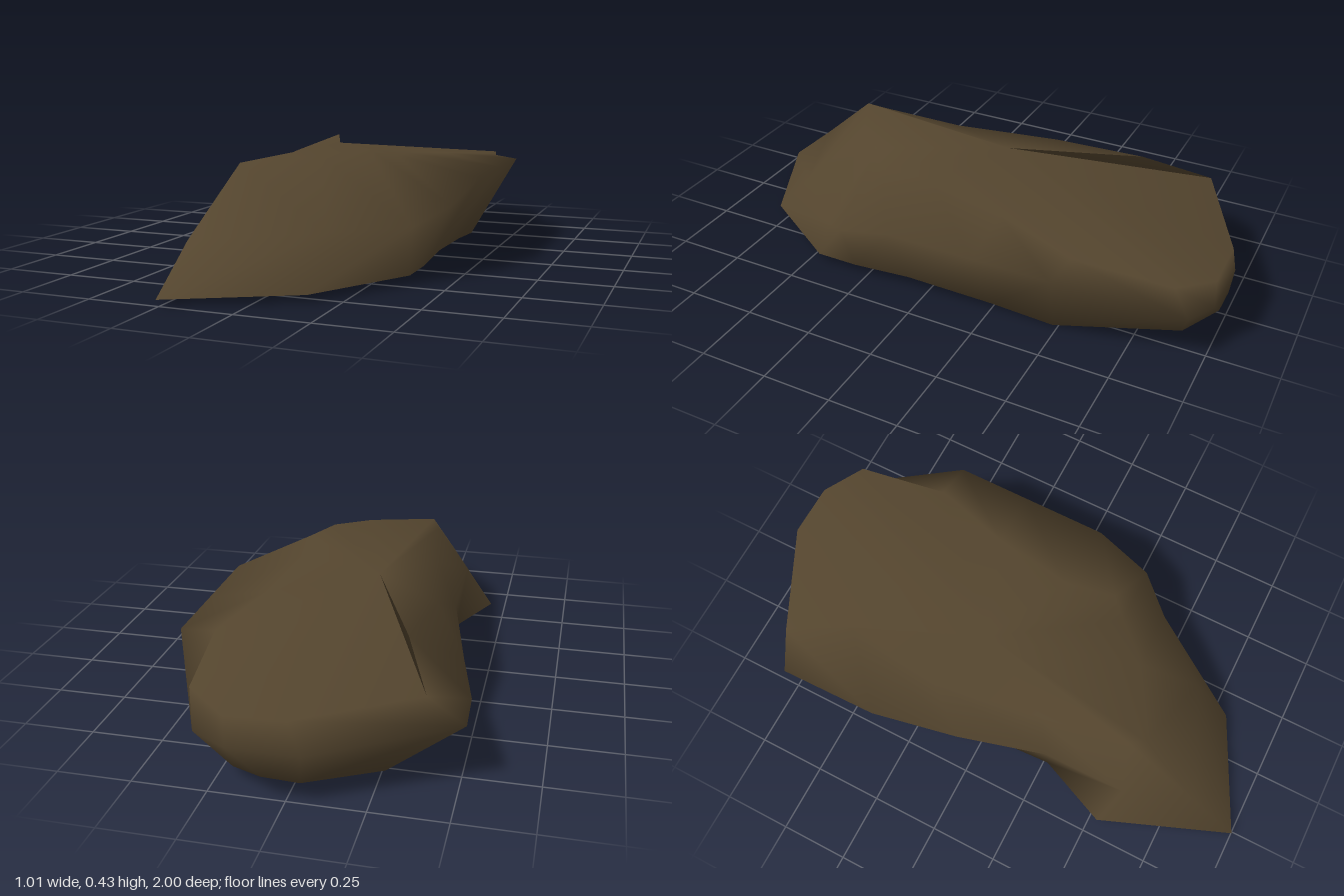
import * as THREE from 'three';

// Columns around the rock, counter-clockwise from the front tip:
// foot, flank and shoulder points, each as x, y, z.
const columns = [
  [-0.26, 0.02, 1.0, -0.25, 0.17, 0.82, -0.19, 0.39, 0.57],
  [0.15, 0.025, 0.8, 0.15, 0.19, 0.65, 0.05, 0.41, 0.44],
  [0.37, 0.03, 0.46, 0.36, 0.18, 0.41, 0.17, 0.425, 0.31],
  [0.37, 0.03, 0.3, 0.46, 0.24, 0.29, 0.25, 0.397, 0.24],
  [0.36, 0.04, 0.08, 0.5, 0.31, 0.07, 0.22, 0.385, 0.05],
  [0.34, 0.02, -0.25, 0.5, 0.31, -0.25, 0.28, 0.355, -0.25],
  [0.33, 0.0, -0.48, 0.5, 0.31, -0.53, 0.37, 0.325, -0.55],
  [0.2, 0.035, -0.9, 0.31, 0.17, -0.94, 0.33, 0.295, -0.89],
  [0.08, 0.07, -0.99, 0.19, 0.16, -0.995, 0.19, 0.265, -0.99],
  [-0.045, 0.065, -0.99, -0.05, 0.16, -1.0, -0.01, 0.272, -0.99],
  [-0.27, 0.035, -0.82, -0.51, 0.19, -0.76, -0.39, 0.3, -0.8],
  [-0.42, 0.06, -0.38, -0.485, 0.095, -0.41, -0.29, 0.38, -0.56],
  [-0.36, 0.055, -0.08, -0.415, 0.08, -0.08, -0.33, 0.345, -0.2],
  [-0.34, 0.05, 0.27, -0.335, 0.14, 0.26, -0.27, 0.34, 0.2],
  [-0.45, 0.045, 0.53, -0.34, 0.18, 0.57, -0.22, 0.37, 0.52],
];

export function createModel() {
  const group = new THREE.Group();
  group.name = 'rock';
  const stone = new THREE.MeshStandardMaterial({ color: 0x54452e, side: THREE.DoubleSide });
  stone.name = 'dark brown stone';

  const n = columns.length;
  const positions = columns.flat();
  const index = [];
  const id = (column, ring) => (column % n) * 3 + ring;
  const addPoint = (x, y, z) => positions.push(x, y, z) / 3 - 1;
  const crown = addPoint(-0.1, 0.395, -0.1);
  const base = addPoint(0.0, 0.03, 0.0);
  const notch = addPoint(-0.33, 0.045, 0.54);

  // Flanks and gently domed top
  for (let i = 0; i < n; i++) {
    for (let r = 0; r < 2; r++) {
      const a = id(i, r), b = id(i + 1, r), c = id(i + 1, r + 1), d = id(i, r + 1);
      if (r === 0) index.push(a, b, c, a, c, d);
      else index.push(a, b, d, b, c, d);
    }
    index.push(crown, id(i, 2), id(i + 1, 2));
  }

  // Underside, creased along the front edge and open below the overhanging tip
  const feet = [notch];
  for (let i = 1; i < n - 1; i++) {
    feet.push(i < 5 ? addPoint(...columns[i].slice(0, 3)) : id(i, 0));
  }
  feet.forEach((foot, i) => index.push(base, feet[(i + 1) % feet.length], foot));

  const geometry = new THREE.BufferGeometry();
  geometry.setAttribute('position', new THREE.Float32BufferAttribute(positions, 3));
  geometry.setIndex(index);
  geometry.computeVertexNormals();

  const boulder = new THREE.Mesh(geometry, stone);
  boulder.name = 'boulder';
  group.add(boulder);
  return group;
}
